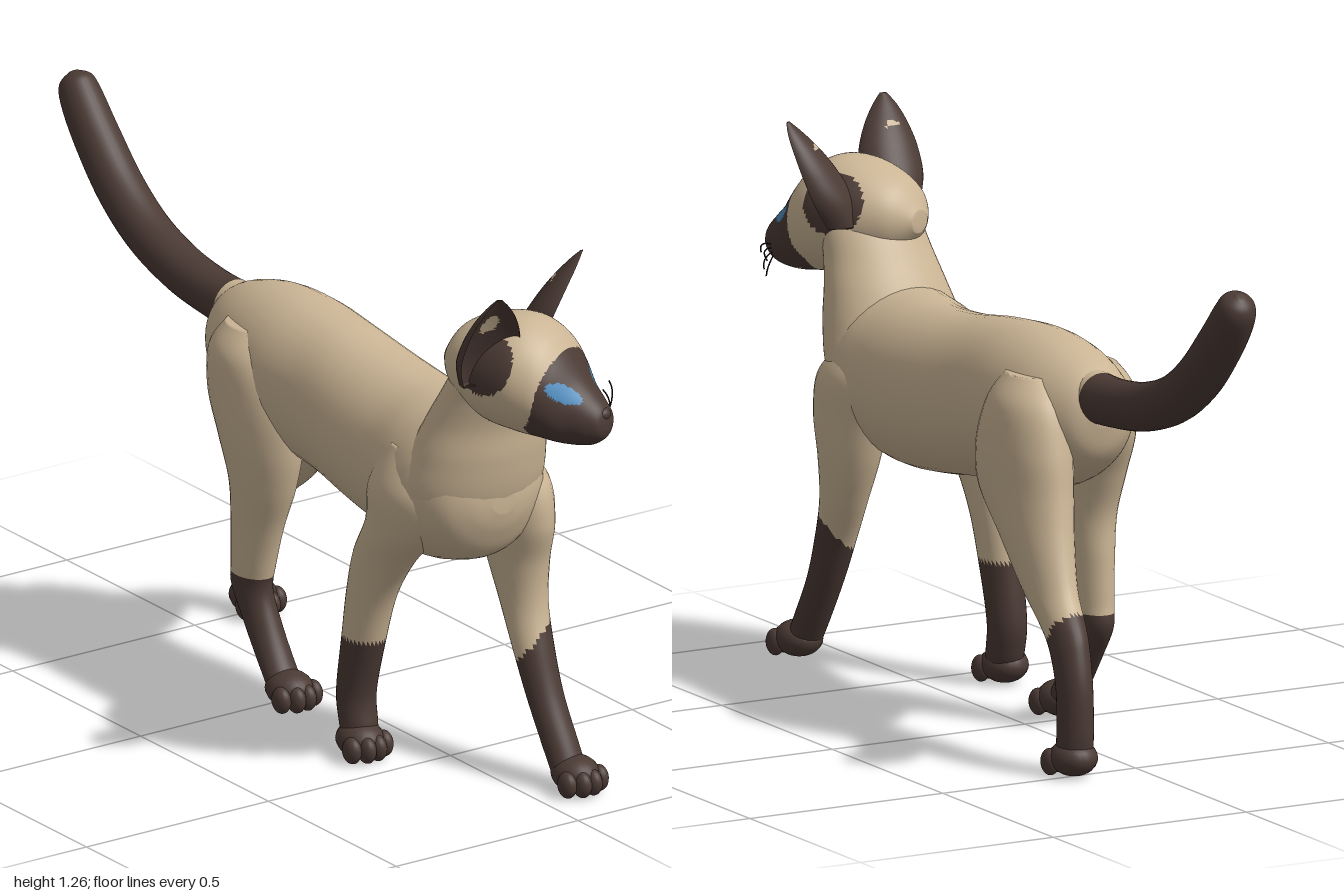
import * as THREE from 'three';

const mat = (name, color) => {
  const m = new THREE.MeshStandardMaterial({ color });
  m.name = name;
  return m;
};
const cream = mat('cream fur', 0xcbb595);
const brown = mat('dark brown fur', 0x4b3a34);
const blue = mat('blue eye', 0x4a8cbf);
const black = mat('whisker black', 0x1c1513);
const coat = [cream, brown, blue];

// Catmull-Rom interpolation of rows of numbers
function sample(rows, t) {
  const last = rows.length - 1;
  const i = Math.min(Math.floor(t * last), last - 1);
  const u = t * last - i;
  const [a, b, c, d] = [-1, 0, 1, 2].map(k => rows[Math.min(Math.max(i + k, 0), last)]);
  return b.map((_, k) => 0.5 * (2 * b[k] + (c[k] - a[k]) * u
    + (2 * a[k] - 5 * b[k] + 4 * c[k] - d[k]) * u * u
    + (3 * b[k] - a[k] - 3 * c[k] + d[k]) * u * u * u));
}

// Closed skin over smoothly blended rings; place(row, cos, sin) gives a ring point
function loft(rows, place, steps = 48, sides = 32) {
  const pos = [], idx = [];
  for (let i = 0; i <= steps; i++) {
    const row = sample(rows, i / steps);
    for (let j = 0; j < sides; j++) {
      const a = j / sides * Math.PI * 2;
      pos.push(...place(row, Math.cos(a), Math.sin(a)));
    }
  }
  for (let i = 0; i < steps; i++) for (let j = 0; j < sides; j++) {
    const a = i * sides + j, b = i * sides + (j + 1) % sides;
    idx.push(a, b, a + sides, b, b + sides, a + sides);
  }
  for (let j = 1; j < sides - 1; j++) {
    const e = steps * sides;
    idx.push(0, j + 1, j, e, e + j, e + j + 1);
  }
  // make the skin face outwards whichever way the rings run
  const v = k => new THREE.Vector3().fromArray(pos, k * 3);
  let volume = 0;
  for (let k = 0; k < idx.length; k += 3) volume += v(idx[k]).dot(v(idx[k + 1]).cross(v(idx[k + 2])));
  if (volume < 0) idx.reverse();
  const geo = new THREE.BufferGeometry();
  geo.setAttribute('position', new THREE.Float32BufferAttribute(pos, 3));
  geo.setIndex(idx);
  geo.computeVertexNormals();
  return geo;
}

// Sort faces into coat colours by a rule on each face's centre
function paint(geo, rule) {
  const p = geo.attributes.position, old = geo.index.array, buckets = [[], [], []];
  for (let k = 0; k < old.length; k += 3) {
    const f = [old[k], old[k + 1], old[k + 2]];
    const mean = g => (g(f[0]) + g(f[1]) + g(f[2])) / 3;
    buckets[rule(mean(i => p.getX(i)), mean(i => p.getY(i)), mean(i => p.getZ(i)))].push(...f);
  }
  geo.setIndex(buckets.flat());
  let start = 0;
  buckets.forEach((b, m) => { if (b.length) geo.addGroup(start, b.length, m); start += b.length; });
  return geo;
}

function add(parent, name, geo, material) {
  const mesh = new THREE.Mesh(geo, material);
  mesh.name = name;
  parent.add(mesh);
  return mesh;
}

function ball(parent, name, x, y, z, rx, ry, rz, material) {
  const m = add(parent, name, new THREE.SphereGeometry(1, 20, 14), material);
  m.position.set(x, y, z);
  m.scale.set(rx, ry, rz);
}

// Rows: height, centre x, centre z, half width, half depth
const upright = ([y, x, z, rx, rz], c, s) => [x + rx * c, y, z + rz * s];

// Leg with a dark sock and a paw of four toes
function leg(parent, name, rows, sockTop, px, pz) {
  const g = new THREE.Group();
  g.name = name;
  parent.add(g);
  add(g, name + 'Limb', paint(loft(rows, upright, 72, 32),
    (x, y, z) => (y < sockTop(x, z) ? 1 : 0)), coat);
  ball(g, name + 'Paw', px, 0.042, pz - 0.005, 0.054, 0.042, 0.06, brown);
  for (let i = 0; i < 4; i++) {
    const u = i - 1.5, mid = Math.abs(u) < 1;
    ball(g, name + 'Toe', px + u * 0.029, 0.031, pz + (mid ? 0.042 : 0.025), 0.02, 0.031, 0.027, brown);
  }
}

function makeHead() {
  const head = new THREE.Group();
  head.name = 'head';
  head.position.set(-0.015, 0, 0.77);
  head.rotation.y = 0.42;
  // Skull and muzzle: forward, top, bottom, half width
  const skull = loft([
    [-0.165, 1.05, 1.0, 0.03], [-0.12, 1.11, 0.95, 0.09], [-0.04, 1.148, 0.9, 0.13],
    [0.04, 1.155, 0.885, 0.138], [0.1, 1.13, 0.88, 0.125], [0.14, 1.088, 0.875, 0.104],
    [0.18, 1.035, 0.875, 0.073], [0.215, 0.998, 0.882, 0.053], [0.24, 0.97, 0.9, 0.035],
    [0.248, 0.945, 0.92, 0.012],
  ], ([z, t, b, w], c, s) => [w * c, (t + b) / 2 + (t - b) / 2 * s, z], 90, 80);
  add(head, 'skull', paint(skull, (x, y, z) => {
    const ax = Math.abs(x);
    const eye = ((ax - 0.066) / 0.03) ** 2 + ((y - 1.013 - (ax - 0.066) * 0.35) / 0.023) ** 2;
    if (z > 0.08 && eye < 1) return 2;
    if (z > 0.085 && (x / 0.118) ** 2 + ((y - 0.985) / 0.107) ** 2 < 1) return 1;
    return Math.hypot(ax - 0.135, y - 1.075, z + 0.01) < 0.078 ? 1 : 0;
  }), coat);
  ball(head, 'nose', 0, 0.957, 0.236, 0.019, 0.015, 0.014, brown);

  // Cupped ears with a pale patch inside
  for (const s of [1, -1]) {
    const ear = loft([
      [1.02, 0, -0.01, 0.055, 0.06], [1.08, 0.003, 0.015, 0.078, 0.07], [1.14, 0.01, 0.04, 0.074, 0.06],
      [1.19, 0.018, 0.062, 0.056, 0.045], [1.23, 0.026, 0.08, 0.032, 0.026], [1.257, 0.03, 0.09, 0.008, 0.007],
    ], ([y, x, z, w, d], c, n) => [s * (x + w * c), y, z - d * (n > 0 ? 0.45 * n : -n)], 40, 40);
    const mesh = add(head, s > 0 ? 'leftEar' : 'rightEar', paint(ear, (x, y, z) =>
      ((x - s * 0.018) / 0.024) ** 2 + ((y - 1.178) / 0.028) ** 2 < 1 && z > 0.023 ? 0 : 1), coat);
    mesh.position.x = s * 0.12;
    mesh.rotation.y = s * 0.4;
  }

  // Whiskers on the left cheek
  for (const [y, x, z] of [[0.95, 0.2, 0.13], [0.93, 0.19, 0.12], [0.905, 0.175, 0.14], [0.88, 0.14, 0.16]]) {
    const path = new THREE.QuadraticBezierCurve3(new THREE.Vector3(0.035, 0.915 + (y - 0.915) * 0.3, 0.215),
      new THREE.Vector3(x * 0.6, y + 0.006, 0.2), new THREE.Vector3(x, y, z));
    add(head, 'whisker', new THREE.TubeGeometry(path, 10, 0.0018, 5), black);
  }
  return head;
}

export function createModel() {
  const cat = new THREE.Group();
  cat.name = 'cat';

  // Trunk: z, centre x, top, bottom, half width
  add(cat, 'trunk', loft([
    [-0.36, 0, 0.82, 0.76, 0.03], [-0.34, 0, 0.865, 0.69, 0.08], [-0.28, 0, 0.9, 0.63, 0.12],
    [-0.18, 0, 0.925, 0.585, 0.15], [-0.05, -0.005, 0.932, 0.572, 0.16], [0.1, -0.005, 0.92, 0.553, 0.152],
    [0.25, -0.005, 0.897, 0.525, 0.163], [0.4, -0.01, 0.885, 0.505, 0.17], [0.52, -0.025, 0.888, 0.5, 0.18],
    [0.62, -0.03, 0.89, 0.52, 0.178], [0.7, -0.03, 0.86, 0.555, 0.145], [0.74, -0.03, 0.79, 0.62, 0.09],
    [0.755, -0.03, 0.73, 0.67, 0.03],
  ], ([z, x, t, b, w], c, s) => [x + w * c, (t + b) / 2 + (t - b) / 2 * s, z], 72, 40), cream);

  // Neck
  add(cat, 'neck', loft([
    [0.58, -0.03, 0.61, 0.13, 0.09], [0.7, -0.03, 0.615, 0.175, 0.138], [0.8, -0.025, 0.645, 0.165, 0.128],
    [0.88, -0.02, 0.667, 0.146, 0.112], [0.95, -0.018, 0.697, 0.13, 0.1], [1.02, -0.015, 0.73, 0.118, 0.09],
    [1.08, -0.015, 0.74, 0.085, 0.06],
  ], upright, 48, 40), cream);

  cat.add(makeHead());

  // Tail: z, y, radius, upward tilt
  const tail = loft([
    [-0.24, 0.84, 0.05, 0], [-0.32, 0.824, 0.058, 0], [-0.42, 0.826, 0.056, 0.05], [-0.55, 0.845, 0.056, 0.2],
    [-0.68, 0.89, 0.056, 0.45], [-0.79, 0.963, 0.056, 0.7], [-0.885, 1.06, 0.054, 0.9],
    [-0.945, 1.135, 0.049, 0.95], [-0.966, 1.17, 0.038, 1], [-0.975, 1.186, 0.01, 1],
  ], ([z, y, r, t], c, s) => [r * c, y + r * s * Math.cos(t), z + r * s * Math.sin(t)], 64, 28);
  add(cat, 'tail', paint(tail, (x, y, z) => (z < -0.34 ? 1 : 0)), coat);

  // Legs in mid stride
  leg(cat, 'leftFrontLeg', [
    [0.78, 0.06, 0.58, 0.05, 0.06], [0.7, 0.085, 0.6, 0.08, 0.12], [0.6, 0.095, 0.62, 0.074, 0.115],
    [0.5, 0.1, 0.622, 0.064, 0.088], [0.4, 0.1, 0.645, 0.052, 0.064], [0.3, 0.095, 0.69, 0.047, 0.05],
    [0.2, 0.095, 0.735, 0.043, 0.044], [0.1, 0.098, 0.79, 0.042, 0.043], [0.04, 0.1, 0.825, 0.042, 0.04],
  ], (x, z) => 0.32 + (x - 0.1) * 0.9 + (z - 0.68) * 0.6, 0.105, 0.845);

  leg(cat, 'rightFrontLeg', [
    [0.8, -0.13, 0.55, 0.05, 0.07], [0.7, -0.145, 0.555, 0.083, 0.12], [0.6, -0.148, 0.53, 0.076, 0.108],
    [0.5, -0.15, 0.455, 0.06, 0.088], [0.4, -0.152, 0.41, 0.052, 0.068], [0.28, -0.155, 0.382, 0.047, 0.057],
    [0.15, -0.158, 0.358, 0.045, 0.048], [0.08, -0.16, 0.368, 0.044, 0.045], [0.04, -0.162, 0.38, 0.042, 0.04],
  ], () => 0.285, -0.167, 0.39);

  leg(cat, 'leftHindLeg', [
    [0.86, 0.09, -0.18, 0.05, 0.07], [0.8, 0.1, -0.19, 0.083, 0.12], [0.7, 0.11, -0.19, 0.09, 0.155],
    [0.6, 0.115, -0.205, 0.085, 0.16], [0.5, 0.125, -0.272, 0.07, 0.122], [0.4, 0.135, -0.345, 0.054, 0.092],
    [0.33, 0.143, -0.42, 0.045, 0.074], [0.28, 0.148, -0.46, 0.042, 0.058], [0.2, 0.153, -0.49, 0.04, 0.049],
    [0.1, 0.155, -0.497, 0.041, 0.046], [0.04, 0.155, -0.492, 0.042, 0.042],
  ], (x, z) => 0.26 + (-0.4 - z) * 1.6, 0.157, -0.488);

  leg(cat, 'rightHindLeg', [
    [0.86, -0.09, -0.15, 0.05, 0.07], [0.8, -0.1, -0.135, 0.083, 0.12], [0.7, -0.108, -0.11, 0.083, 0.145],
    [0.6, -0.11, -0.085, 0.078, 0.125], [0.5, -0.11, -0.078, 0.065, 0.096], [0.4, -0.11, -0.097, 0.052, 0.076],
    [0.3, -0.11, -0.113, 0.045, 0.062], [0.24, -0.11, -0.118, 0.041, 0.058], [0.17, -0.11, -0.08, 0.04, 0.05],
    [0.1, -0.112, -0.03, 0.041, 0.044], [0.04, -0.115, 0.02, 0.042, 0.042],
  ], () => 0.272, -0.115, 0.04);

  return cat;
}
